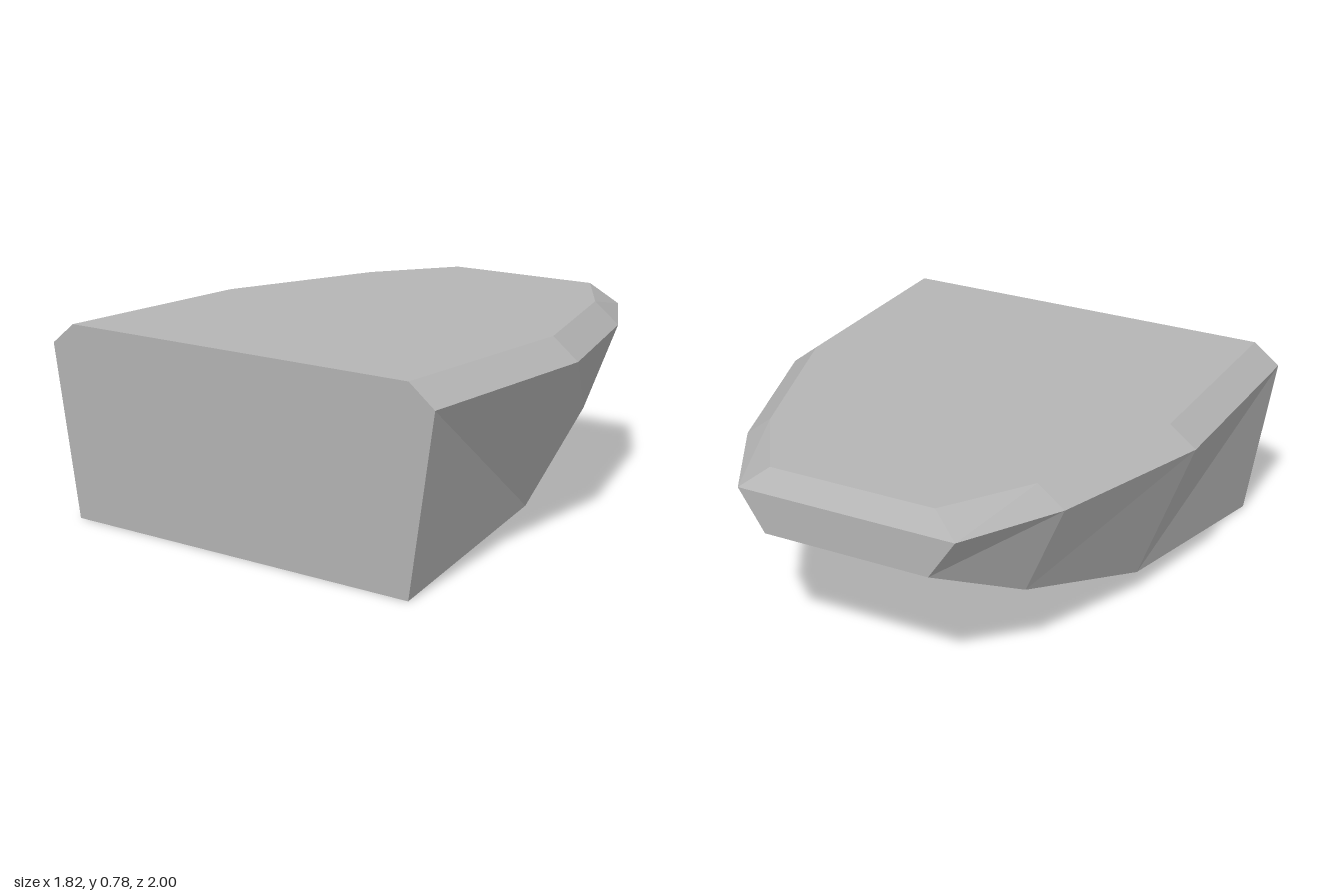
import * as THREE from 'three';

// Faceted hull sections, front to back
const sections = [
  { z: 1, topZ: 1, bottomY: 0, bottom: 0.8, rim: 0.91, top: 0.8 },
  { z: 0.085, topZ: 0.085, bottomY: 0.098, bottom: 0.69, rim: 0.91, top: 0.8 },
  { z: -0.6, topZ: -0.6, bottomY: 0.325, bottom: 0.532, rim: 0.685, top: 0.575 },
  { z: -1, topZ: -0.945, bottomY: 0.53, bottom: 0.345, rim: 0.455, top: 0.345 },
];
const RIM_Y = 0.695;
const TOP_Y = 0.78;

// Six corners, counter-clockwise from the front
function ring(s) {
  return [
    [-s.bottom, s.bottomY, s.z], [s.bottom, s.bottomY, s.z],
    [s.rim, RIM_Y, s.z], [s.top, TOP_Y, s.topZ],
    [-s.top, TOP_Y, s.topZ], [-s.rim, RIM_Y, s.z],
  ];
}

function hullGeometry() {
  const rings = sections.map(ring);
  const positions = [];
  const tri = (a, b, c) => positions.push(...a, ...b, ...c);
  const quad = (a, b, c, d) => { tri(a, b, c); tri(a, c, d); };

  // Skin between sections, with diagonals mirrored left to right
  for (let s = 0; s < rings.length - 1; s++) {
    for (let i = 0; i < 6; i++) {
      const j = (i + 1) % 6;
      const [p, q, p2, q2] = [rings[s][i], rings[s][j], rings[s + 1][i], rings[s + 1][j]];
      if (i < 3) quad(p2, q2, q, p);
      else quad(p, p2, q2, q);
    }
  }

  // Flat front face
  const f = rings[0];
  quad(f[0], f[1], f[2], f[5]);
  quad(f[5], f[2], f[3], f[4]);

  // Back face and its bevel
  const b = rings[rings.length - 1];
  quad(b[1], b[0], b[5], b[2]);
  quad(b[2], b[5], b[4], b[3]);

  const geometry = new THREE.BufferGeometry();
  geometry.setAttribute('position', new THREE.Float32BufferAttribute(positions, 3));
  geometry.computeVertexNormals();
  return geometry;
}

export function createModel() {
  const grey = new THREE.MeshStandardMaterial({ color: 0xb4b4b4 });
  grey.name = 'grey';
  const hull = new THREE.Mesh(hullGeometry(), grey);
  hull.name = 'hull';
  const model = new THREE.Group();
  model.name = 'taperedHull';
  model.add(hull);
  return model;
}
